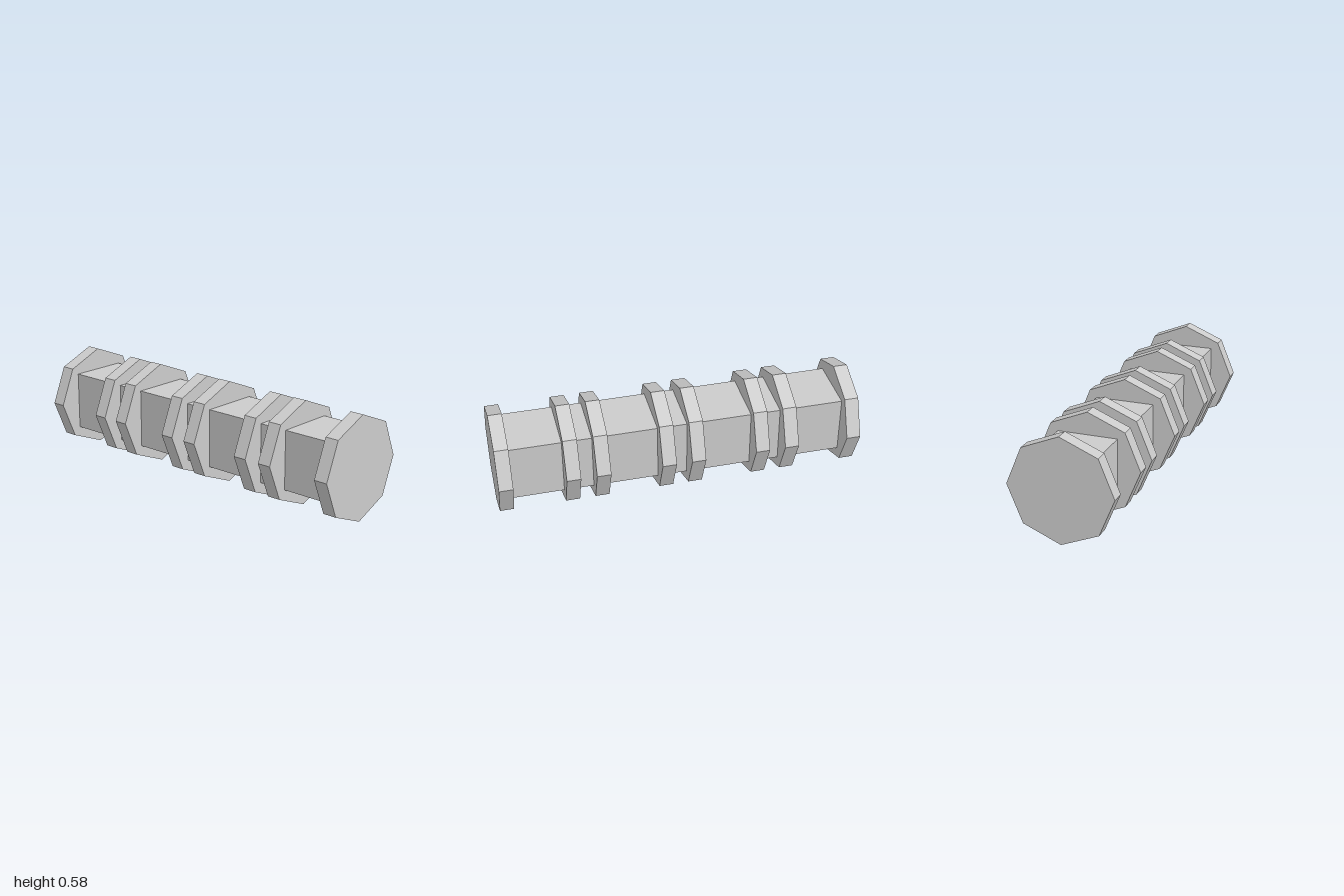
import * as THREE from 'three';

export function createModel() {
  const group = new THREE.Group();
  const material = new THREE.MeshStandardMaterial({ color: 0xcccccc, flatShading: true });
  const radius = 0.288, thickness = 0.077;

  // Square bar running through all the collars
  const shaft = new THREE.Mesh(new THREE.BoxGeometry(1.94, 0.326, 0.326), material);
  shaft.name = 'shaft';
  shaft.position.y = radius + 0.002;
  group.add(shaft);

  // Octagonal collars: one at each end and three pairs between
  const collarGeometry = new THREE.CylinderGeometry(radius, radius, thickness, 8);
  collarGeometry.rotateZ(Math.PI / 2);
  const centres = [-0.9615, -0.607, -0.442, -0.083, 0.08, 0.438, 0.601, 0.9615];
  centres.forEach((x, i) => {
    const collar = new THREE.Mesh(collarGeometry, material);
    collar.name = i === 0 || i === centres.length - 1 ? 'endCollar' : 'collar';
    collar.position.set(x, radius, 0);
    group.add(collar);
  });

  return group;
}
